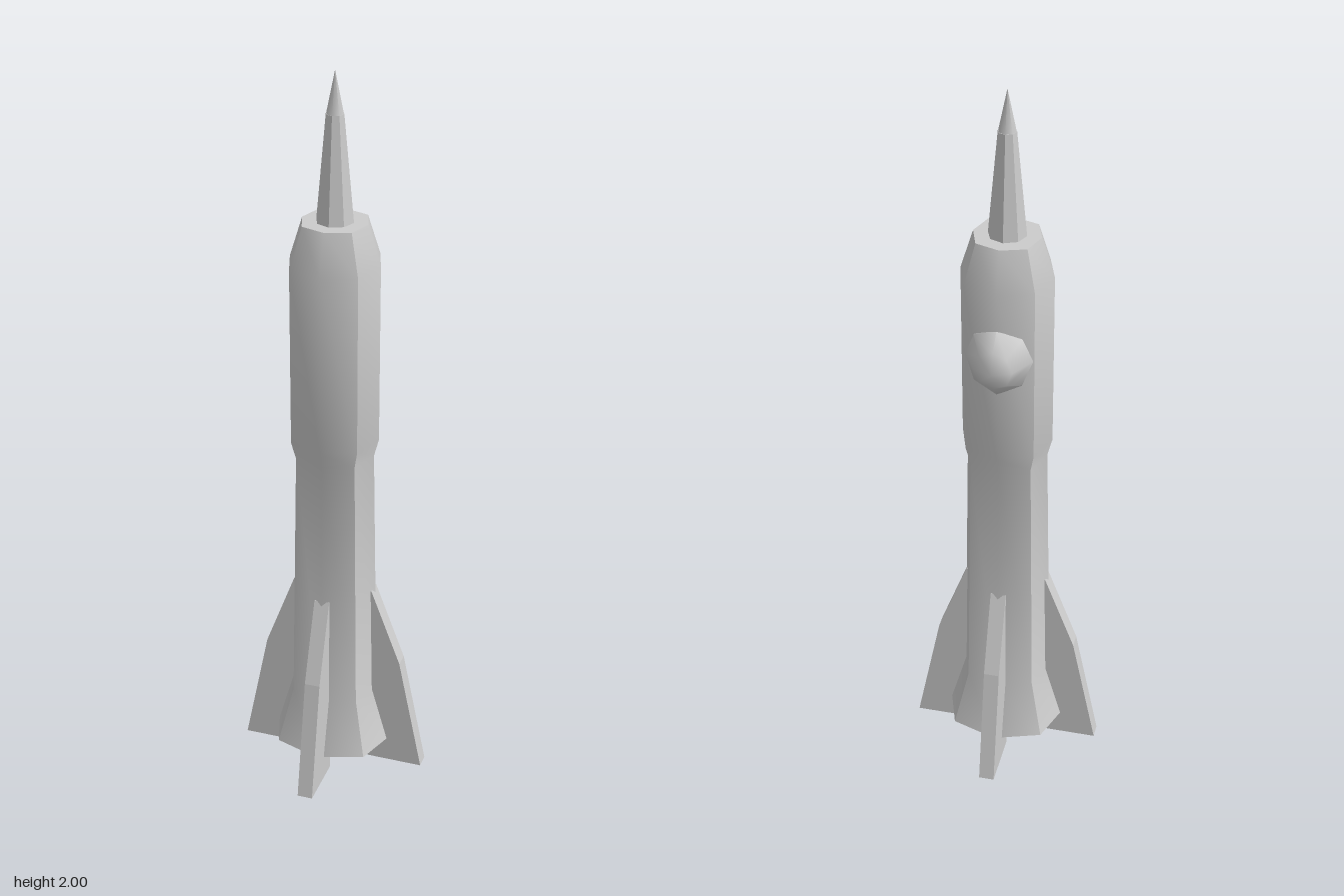
import * as THREE from 'three';
import { toCreasedNormals } from 'three/addons/utils/BufferGeometryUtils.js';

const material = new THREE.MeshStandardMaterial({ color: 0xcccccc });

function addMesh(parent, name, geometry) {
  const mesh = new THREE.Mesh(geometry, material);
  mesh.name = name;
  parent.add(mesh);
  return mesh;
}

// Eight-sided solid of revolution from [radius, height] pairs
function octagonLathe(profile) {
  return new THREE.LatheGeometry(profile.map(([r, h]) => new THREE.Vector2(r, h)), 8);
}

// Apply a rule to every vertex of a geometry
function reshape(geometry, rule) {
  const pos = geometry.attributes.position;
  const v = new THREE.Vector3();
  for (let i = 0; i < pos.count; i++) {
    v.fromBufferAttribute(pos, i);
    rule(v);
    pos.setXYZ(i, v.x, v.y, v.z);
  }
  return geometry;
}

export function createModel() {
  const rocket = new THREE.Group();
  rocket.name = 'rocket';

  // Body: recessed exhaust, flared skirt, slim waist, wider upper stage
  const body = octagonLathe([
    [0, 0.2], [0.1, 0.2], [0.155, 0.07], [0.178, 0.07], [0.13, 0.23],
    [0.115, 0.96], [0.129, 1.01], [0.129, 1.5], [0.093, 1.61], [0, 1.61],
  ]);
  // Pull in the corners facing front, back and sides so the body is squarer
  reshape(body, (v) => {
    if (Math.min(Math.abs(v.x), Math.abs(v.z)) < 0.001) {
      v.x *= 0.945;
      v.z *= 0.945;
    }
  });
  addMesh(rocket, 'body', toCreasedNormals(body, 0.75));

  // Nose spike and its pointed tip
  addMesh(rocket, 'noseSpike', toCreasedNormals(
    octagonLathe([[0.05, 1.61], [0.024, 1.89], [0, 1.89]]), 0.6));
  addMesh(rocket, 'noseTip', octagonLathe([[0.023, 1.89], [0, 2]]));

  // Domed blister on the back, its rim wrapping around the body
  const dome = octagonLathe([[0.095, 0.08], [0.095, 0.12], [0.053, 0.16], [0, 0.183]]);
  dome.rotateX(-Math.PI / 2);
  reshape(dome, (v) => {
    if (Math.hypot(v.x, v.y) > 0.08) v.z += 0.027 * (v.x / 0.095) ** 2;
    v.x *= 0.93;
  });
  addMesh(rocket, 'dome', toCreasedNormals(dome, 1)).position.y = 1.305;

  // Four swept fins
  const outline = new THREE.Shape([
    [0.105, 0], [0.262, 0], [0.195, 0.33], [0.112, 0.55], [0.105, 0.55],
  ].map(([x, y]) => new THREE.Vector2(x, y)));
  const fin = new THREE.ExtrudeGeometry(outline, { depth: 0.042, bevelEnabled: false });
  fin.translate(0, 0, -0.021);
  ['leftFin', 'backFin', 'rightFin', 'frontFin'].forEach((name, i) => {
    addMesh(rocket, name, fin).rotation.y = (i * Math.PI) / 2;
  });

  return rocket;
}
